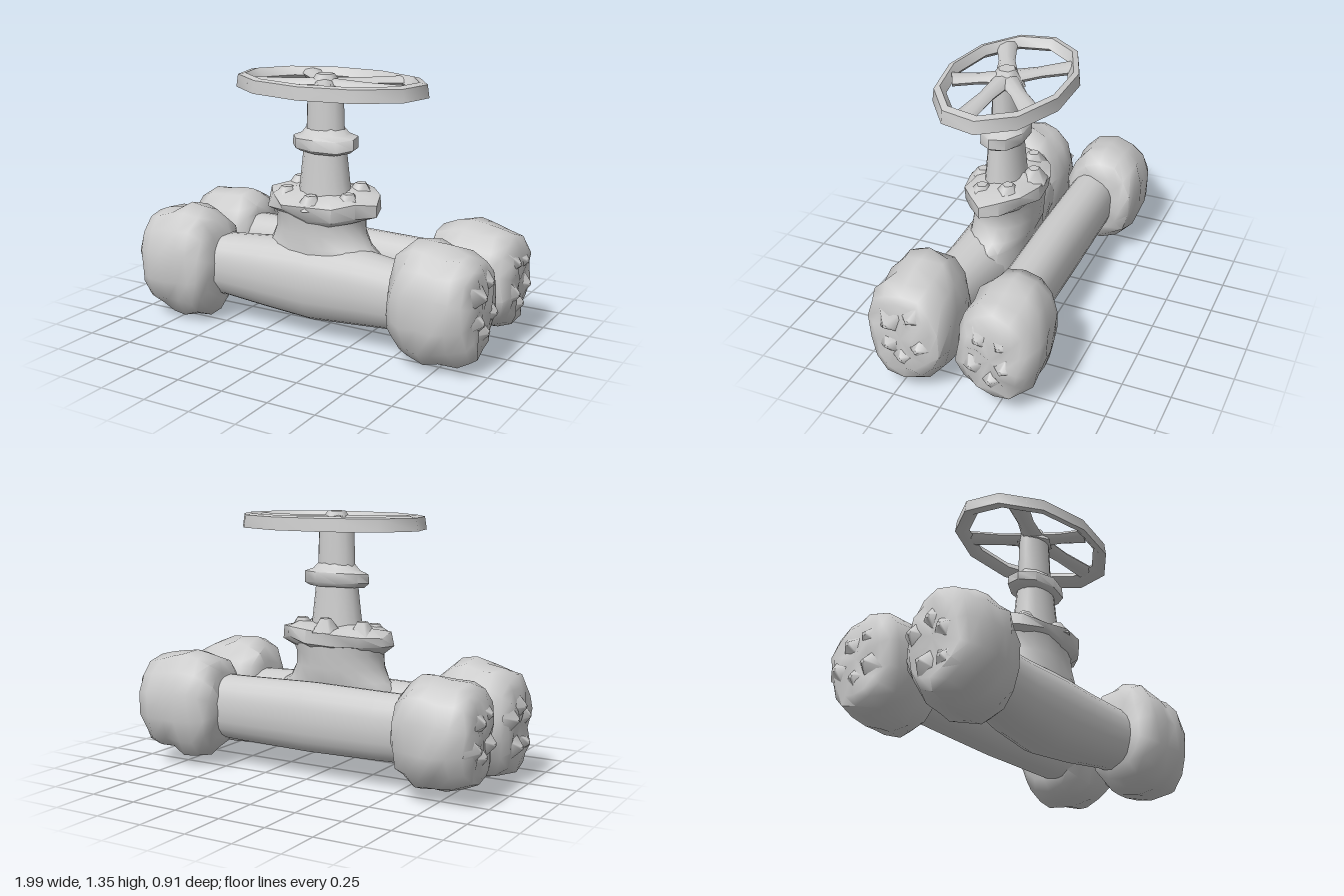
import * as THREE from 'three';
import { toCreasedNormals } from 'three/addons/utils/BufferGeometryUtils.js';

const metal = new THREE.MeshStandardMaterial({ color: 0xcccccc });
metal.name = 'castGrey';

// Small seeded noise for the worn, lumpy castings
function seeded(seed) {
  return () => {
    seed = (seed * 16807) % 2147483647;
    return seed / 2147483647 - 0.5;
  };
}

// Closed loft along an axis. Rings are [t, cu, cv, ru, rv];
// axis 'x' maps (t,u,v) to (x,y,z), axis 'y' maps it to (y,z,x).
function loft(rings, { axis = 'x', sides = 16, jitter = 0, seed = 1, tilt = 0, crease = 0.9, square = 1 } = {}) {
  const rnd = seeded(seed * 7919 + 13);
  const pos = [];
  const idx = [];
  const put = (t, u, v) => (axis === 'x' ? pos.push(t, u, v) : pos.push(v, t, u));
  const pw = (w) => Math.sign(w) * Math.pow(Math.abs(w), square);
  rings.forEach(([t, cu, cv, ru, rv]) => {
    for (let j = 0; j < sides; j++) {
      const a = (j / sides) * Math.PI * 2;
      const k = 1 + rnd() * jitter;
      const u = pw(Math.cos(a)) * ru * k;
      put(t + rnd() * jitter * 0.3 + tilt * u, cu + u, cv + pw(Math.sin(a)) * rv * k);
    }
  });
  const n = rings.length;
  for (let i = 0; i < n - 1; i++) {
    for (let j = 0; j < sides; j++) {
      const a = i * sides + j;
      const b = i * sides + ((j + 1) % sides);
      idx.push(a, b, a + sides, b, b + sides, a + sides);
    }
  }
  const first = rings[0];
  const last = rings[n - 1];
  put(first[0], first[1], first[2]);
  put(last[0], last[1], last[2]);
  for (let j = 0; j < sides; j++) {
    const k = (j + 1) % sides;
    idx.push(n * sides, k, j, n * sides + 1, (n - 1) * sides + j, (n - 1) * sides + k);
  }
  const g = new THREE.BufferGeometry();
  g.setAttribute('position', new THREE.Float32BufferAttribute(pos, 3));
  g.setIndex(idx);
  return toCreasedNormals(g.toNonIndexed(), crease);
}

function add(parent, name, geometry) {
  const m = new THREE.Mesh(geometry, metal);
  m.name = name;
  parent.add(m);
  return m;
}

// Lumpy coupling at one end of a pipe; s is the end's x direction, start its
// inner edge. Profile rows are [share of length, height factor, depth factor].
function coupling(parent, name, s, start, cy, cz, ry, rz, seed) {
  const g = new THREE.Group();
  g.name = name;
  parent.add(g);
  const profile = [
    [0, 0.6, 0.66], [0.07, 0.82, 0.86], [0.22, 0.97, 0.94], [0.4, 1, 0.98], [0.58, 0.95, 0.98],
    [0.78, 0.91, 0.98], [0.93, 0.8, 0.86], [0.99, 0.62, 0.66], [1, 0.32, 0.34],
  ];
  const rings = profile.map(([t, a, b]) => [s * (start + (0.955 - start) * t), cy, cz, ry * a, rz * b]);
  if (s < 0) rings.reverse();
  add(g, 'couplingBody', loft(rings, { sides: 14, jitter: 0.11, seed, square: 0.9, crease: 1.1 }));
  // Worn, uneven lumps around the middle of the end face
  const rnd = seeded(seed * 977);
  for (let i = 0; i < 5; i++) {
    const a = (i / 5) * Math.PI * 2 + seed * 0.4;
    const r = 0.42 + rnd() * 0.25;
    const bolt = add(g, 'boltStub', new THREE.CylinderGeometry(0.012, 0.08, 0.06, 4).rotateZ(-s * Math.PI / 2));
    bolt.position.set(s * (0.955 + rnd() * 0.02), cy + Math.cos(a) * ry * r, cz + Math.sin(a) * rz * r);
    bolt.rotation.x = a;
  }
}

export function createModel() {
  const model = new THREE.Group();
  model.name = 'twinPipeValve';

  // Front pipe, swelling in the middle to form the valve body
  add(model, 'frontPipe', loft([
    [-0.7, 0.3, 0.19, 0.165, 0.13], [-0.5, 0.3, 0.17, 0.168, 0.14],
    [-0.27, 0.29, 0.14, 0.19, 0.16], [0, 0.285, 0.125, 0.208, 0.18],
    [0.27, 0.29, 0.14, 0.19, 0.16], [0.5, 0.295, 0.17, 0.168, 0.14],
    [0.7, 0.295, 0.19, 0.165, 0.13],
  ], { sides: 20, square: 0.88 }));
  // Back pipe
  add(model, 'backPipe', loft([
    [-0.7, 0.32, -0.19, 0.165, 0.125], [-0.4, 0.315, -0.185, 0.172, 0.125],
    [0, 0.315, -0.185, 0.18, 0.125], [0.4, 0.315, -0.185, 0.172, 0.125],
    [0.7, 0.32, -0.19, 0.165, 0.125],
  ], { sides: 20, square: 0.88 }));

  // End couplings
  coupling(model, 'frontRightCoupling', -1, 0.53, 0.31, 0.235, 0.305, 0.215, 3);
  coupling(model, 'frontLeftCoupling', 1, 0.52, 0.315, 0.22, 0.305, 0.22, 5);
  coupling(model, 'backRightCoupling', -1, 0.55, 0.33, -0.23, 0.285, 0.21, 8);
  coupling(model, 'backLeftCoupling', 1, 0.51, 0.33, -0.245, 0.285, 0.212, 11);

  // Neck rising from the valve body
  add(model, 'bonnetNeck', loft([
    [0.3, 0.09, 0, 0.16, 0.36], [0.44, 0.085, 0, 0.16, 0.34], [0.48, 0.075, -0.01, 0.168, 0.285],
    [0.55, 0.07, -0.015, 0.172, 0.25], [0.62, 0.067, -0.015, 0.176, 0.245], [0.68, 0.07, -0.01, 0.185, 0.27],
  ], { axis: 'y', sides: 18 }));
  // Tilted flange with a worn edge
  add(model, 'bonnetFlange', loft([
    [0.63, 0.07, 0, 0.165, 0.245], [0.67, 0.07, 0, 0.2, 0.305], [0.725, 0.07, 0, 0.2, 0.305],
    [0.75, 0.07, 0, 0.16, 0.24], [0.765, 0.07, 0, 0.09, 0.13],
  ], { axis: 'y', sides: 13, jitter: 0.13, seed: 4, tilt: -0.1 }));
  // Worn flange bolts
  for (let i = 0; i < 6; i++) {
    const a = (i / 6) * Math.PI * 2 + 0.5;
    const z = Math.sin(a) * 0.14;
    const bolt = add(model, 'flangeBolt', new THREE.CylinderGeometry(0.03, 0.08, 0.07, 5));
    bolt.position.set(Math.cos(a) * 0.205, 0.745 - z * 0.2, 0.07 + z);
    bolt.rotation.y = i * 1.3;
  }

  // Stem: tapered lower part, collar and upper spindle
  add(model, 'lowerStem', loft([
    [0.7, 0.075, 0.01, 0.11, 0.15], [0.8, 0.075, 0.01, 0.1, 0.135], [0.98, 0.075, 0.01, 0.085, 0.115],
  ], { axis: 'y', sides: 16 }));
  add(model, 'collar', loft([
    [0.96, 0.075, 0.01, 0.1, 0.15], [0.975, 0.075, 0.01, 0.12, 0.18], [1.03, 0.075, 0.01, 0.12, 0.18],
    [1.05, 0.075, 0.01, 0.1, 0.13], [1.08, 0.07, 0.01, 0.075, 0.1],
  ], { axis: 'y', sides: 9, jitter: 0.04, seed: 6, tilt: -0.06 }));
  add(model, 'upperStem', loft([
    [1.04, 0.07, 0.01, 0.075, 0.105], [1.2, 0.07, 0.01, 0.07, 0.1], [1.31, 0.07, 0.01, 0.065, 0.095],
  ], { axis: 'y', sides: 14 }));

  // Handwheel: eleven-sided oval rim, five tapered spokes and a hub
  const wheel = new THREE.Group();
  wheel.name = 'handwheel';
  model.add(wheel);
  const rimProfile = [[0.82, 1.29], [0.9, 1.262], [1.0, 1.26], [0.98, 1.325], [0.9, 1.333], [0.82, 1.29]]
    .map(([r, y]) => new THREE.Vector2(r, y));
  const rim = new THREE.LatheGeometry(rimProfile, 11).toNonIndexed();
  rim.scale(0.525, 1, 0.33).translate(0.03, 0, 0.05);
  add(wheel, 'rim', toCreasedNormals(rim, 0.9));
  const hubX = 0.01;
  const hubZ = 0.07;
  const spokeEnds = [[-0.23, -0.2], [0.32, -0.19], [0.5, 0.09], [0.14, 0.32], [-0.36, 0.23]];
  for (const [x, z] of spokeEnds) {
    const dx = x - hubX;
    const dz = z - hubZ;
    const length = Math.hypot(dx, dz) * 0.96;
    const spoke = add(wheel, 'spoke', loft([
      [0, 0, 0, 0.03, 0.06], [length * 0.5, 0, 0, 0.025, 0.042], [length, 0, 0, 0.028, 0.055],
    ], { sides: 8 }));
    spoke.position.set(hubX, 1.298, hubZ);
    spoke.rotation.y = -Math.atan2(dz, dx);
  }
  const hub = add(wheel, 'hub', new THREE.CylinderGeometry(0.045, 0.1, 0.08, 6));
  hub.position.set(hubX, 1.308, hubZ);

  return model;
}
